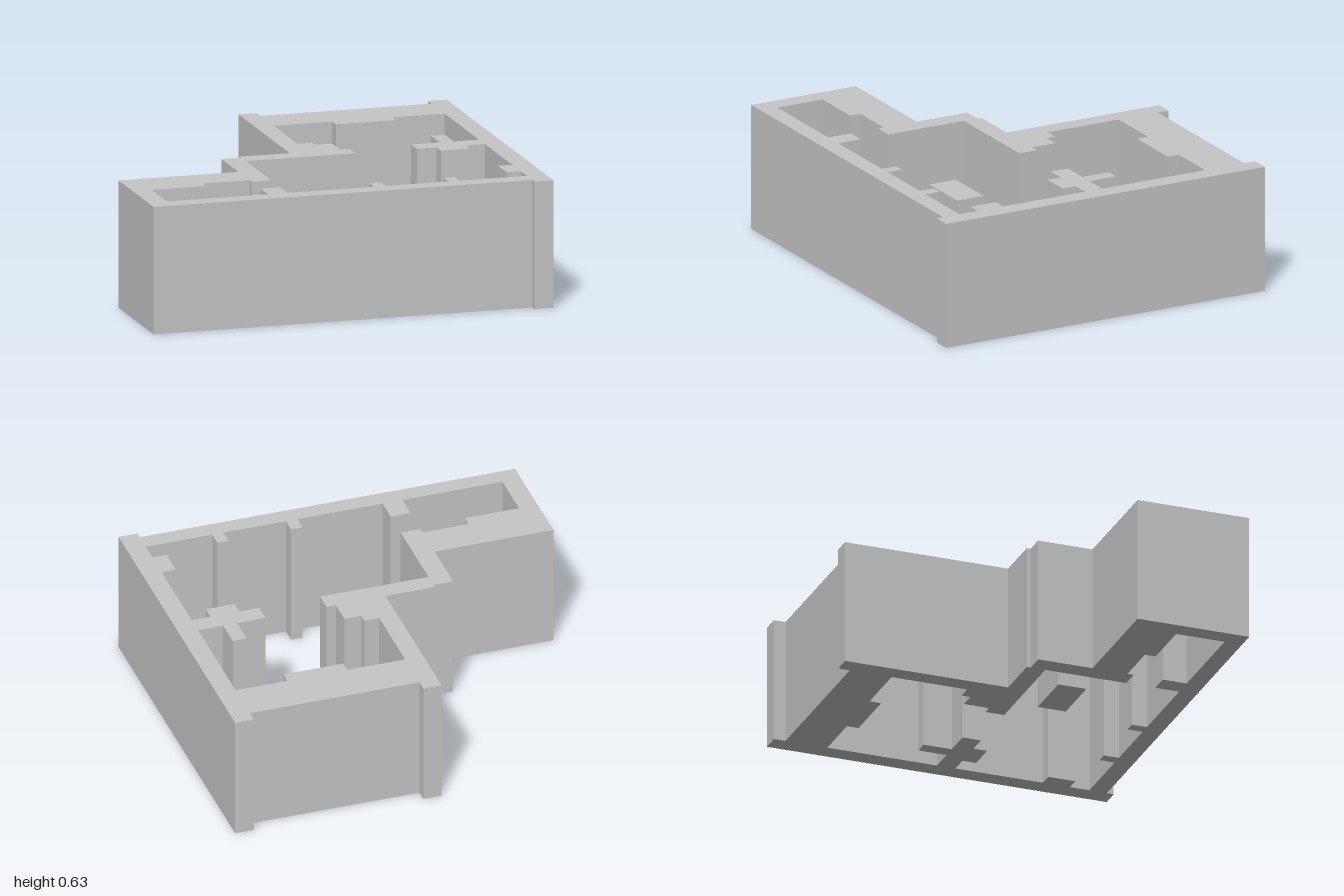
import * as THREE from 'three';

const WALL_HEIGHT = 0.63;
const ISLAND_HEIGHT = 0.39;

// Plan points are [x, z]; the shape uses -z so it can be laid flat after extruding
const toPoints = (plan) => plan.map(([x, z]) => new THREE.Vector2(x, -z));

// Outline and hole run in opposite directions, so that all walls face outwards
function extrudePlan(outline, hole, height) {
  const shape = new THREE.Shape(toPoints(outline).reverse());
  shape.holes.push(new THREE.Path(toPoints(hole)));
  const geometry = new THREE.ExtrudeGeometry(shape, { depth: height, bevelEnabled: false });
  return geometry.rotateX(-Math.PI / 2);
}

export function createModel() {
  const model = new THREE.Group();
  model.name = 'floorPlan';
  const plaster = new THREE.MeshStandardMaterial({ color: 0xc6c6c6 });
  plaster.name = 'grey plaster';

  // Outside of the building
  const outer = [
    [-0.047, -0.875], [0.045, -0.875], [0.045, -0.815], [0.905, -0.815], [0.905, -0.875], [1, -0.875],
    [1, 0.875], [0.905, 0.875], [0.905, 0.84], [-1, 0.84], [-1, 0.265], [-0.397, 0.265],
    [-0.397, -0.015], [-0.297, -0.015], [-0.297, -0.035], [-0.047, -0.035],
  ];

  // Inside of the connected rooms
  const inner = [
    // back room, with the chimney breast on its back wall
    [0.045, -0.6], [0.34, -0.6], [0.34, -0.54], [0.643, -0.54], [0.643, -0.6], [0.905, -0.6],
    // cross-shaped stub on the left wall
    [0.905, -0.035], [0.777, -0.035], [0.777, -0.18], [0.707, -0.18], [0.707, -0.035], [0.563, -0.035],
    [0.563, 0.06], [0.663, 0.06], [0.663, 0.13], [0.81, 0.13], [0.81, 0.06], [0.905, 0.06],
    // pier on the left wall
    [0.905, 0.51], [0.833, 0.51], [0.833, 0.65], [0.905, 0.65], [0.905, 0.75],
    // piers on the front wall
    [0.567, 0.75], [0.567, 0.673], [0.51, 0.673], [0.51, 0.75],
    [0.193, 0.75], [0.193, 0.673], [0.135, 0.673], [0.135, 0.75],
    [-0.297, 0.75], [-0.297, 0.627], [-0.397, 0.627], [-0.397, 0.75],
    // side room and its doorway
    [-0.905, 0.75], [-0.905, 0.5], [-0.63, 0.5], [-0.63, 0.445], [-0.397, 0.445],
    [-0.397, 0.477], [-0.297, 0.477],
    // middle wall and stepped corner
    [-0.297, 0.06], [0.253, 0.06], [0.253, -0.035], [0.205, -0.035], [0.205, -0.165],
    [0.12, -0.165], [0.12, -0.21], [0.045, -0.21],
  ];

  const walls = new THREE.Mesh(extrudePlan(outer, inner, WALL_HEIGHT), plaster);
  walls.name = 'walls';
  model.add(walls);

  // Lower free-standing block in the main room
  const island = new THREE.Mesh(new THREE.BoxGeometry(0.275, ISLAND_HEIGHT, 0.145), plaster);
  island.name = 'island';
  island.position.set(-0.028, ISLAND_HEIGHT / 2, 0.25);
  model.add(island);

  return model;
}
